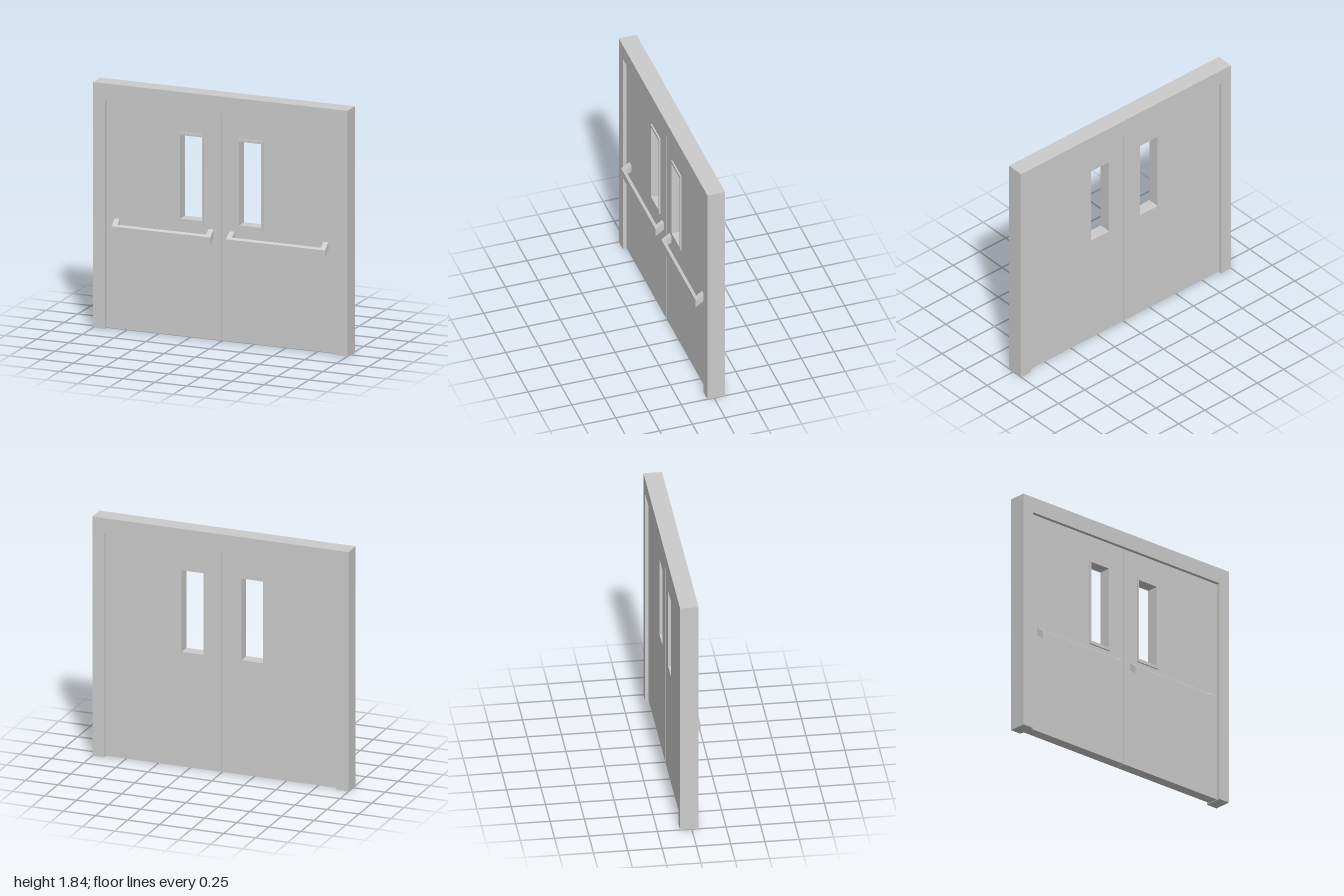
import * as THREE from 'three';

const material = new THREE.MeshStandardMaterial({ color: 0xcccccc, flatShading: true });

// Adds the corners of a rectangle to a shape or path
function rect(path, x0, y0, x1, y1) {
  path.moveTo(x0, y0);
  path.lineTo(x1, y0);
  path.lineTo(x1, y1);
  path.lineTo(x0, y1);
  path.closePath();
  return path;
}

// Rectangular panel with a rectangular hole, extruded from z0 to z1
function panel(name, outer, hole, z0, z1) {
  const shape = rect(new THREE.Shape(), ...outer);
  shape.holes.push(rect(new THREE.Path(), ...hole));
  const geometry = new THREE.ExtrudeGeometry(shape, { depth: z1 - z0, bevelEnabled: false });
  geometry.translate(0, 0, z0);
  const mesh = new THREE.Mesh(geometry, material);
  mesh.name = name;
  return mesh;
}

// Push bar: U-shaped plan, extruded upwards and sheared so it slopes down to the front
function pushBar(x0, x1) {
  const back = 0.02, front = 0.085, inner = 0.067, arm = 0.04, height = 0.06, slope = 0.71;
  const plan = [
    [x0, back], [x0 + arm, back], [x0 + arm, inner], [x1 - arm, inner],
    [x1 - arm, back], [x1, back], [x1, front], [x0, front],
  ];
  const shape = new THREE.Shape(plan.map(([x, z]) => new THREE.Vector2(x, -z)));
  const geometry = new THREE.ExtrudeGeometry(shape, { depth: height, bevelEnabled: false });
  geometry.rotateX(-Math.PI / 2);
  const p = geometry.attributes.position;
  for (let i = 0; i < p.count; i++) {
    p.setY(i, p.getY(i) + 0.725 + slope * (front - p.getZ(i)));
  }
  geometry.computeVertexNormals();
  const mesh = new THREE.Mesh(geometry, material);
  mesh.name = 'pushBar';
  return mesh;
}

export function createModel() {
  const model = new THREE.Group();
  model.name = 'doubleDoor';

  // Door frame: two jambs and a head, open at the floor
  const frameShape = new THREE.Shape([
    [-1, 0], [-0.907, 0], [-0.907, 1.72], [0.907, 1.72],
    [0.907, 0], [1, 0], [1, 1.84], [-1, 1.84],
  ].map(([x, y]) => new THREE.Vector2(x, y)));
  const frameGeometry = new THREE.ExtrudeGeometry(frameShape, { depth: 0.135, bevelEnabled: false });
  frameGeometry.translate(0, 0, -0.085);
  const frame = new THREE.Mesh(frameGeometry, material);
  frame.name = 'doorFrame';
  model.add(frame);

  // Two leaves, each with a window opening, front window trim and push bar
  const leaves = [
    { name: 'rightDoor', x: [-0.907, -0.002], win: [-0.336, -0.14], bar: [-0.842, -0.065] },
    { name: 'leftDoor', x: [0.002, 0.907], win: [0.128, 0.326], bar: [0.06, 0.838] },
  ];
  for (const { name, x, win, bar } of leaves) {
    const door = new THREE.Group();
    door.name = name;
    const opening = [win[0] + 0.013, 0.885, win[1] - 0.013, 1.512];
    door.add(
      panel('doorLeaf', [x[0], 0.005, x[1], 1.72], opening, -0.06, 0.022),
      panel('windowTrim', [win[0], 0.86, win[1], 1.533], opening, 0.02, 0.033),
      pushBar(...bar),
    );
    model.add(door);
  }
  return model;
}
